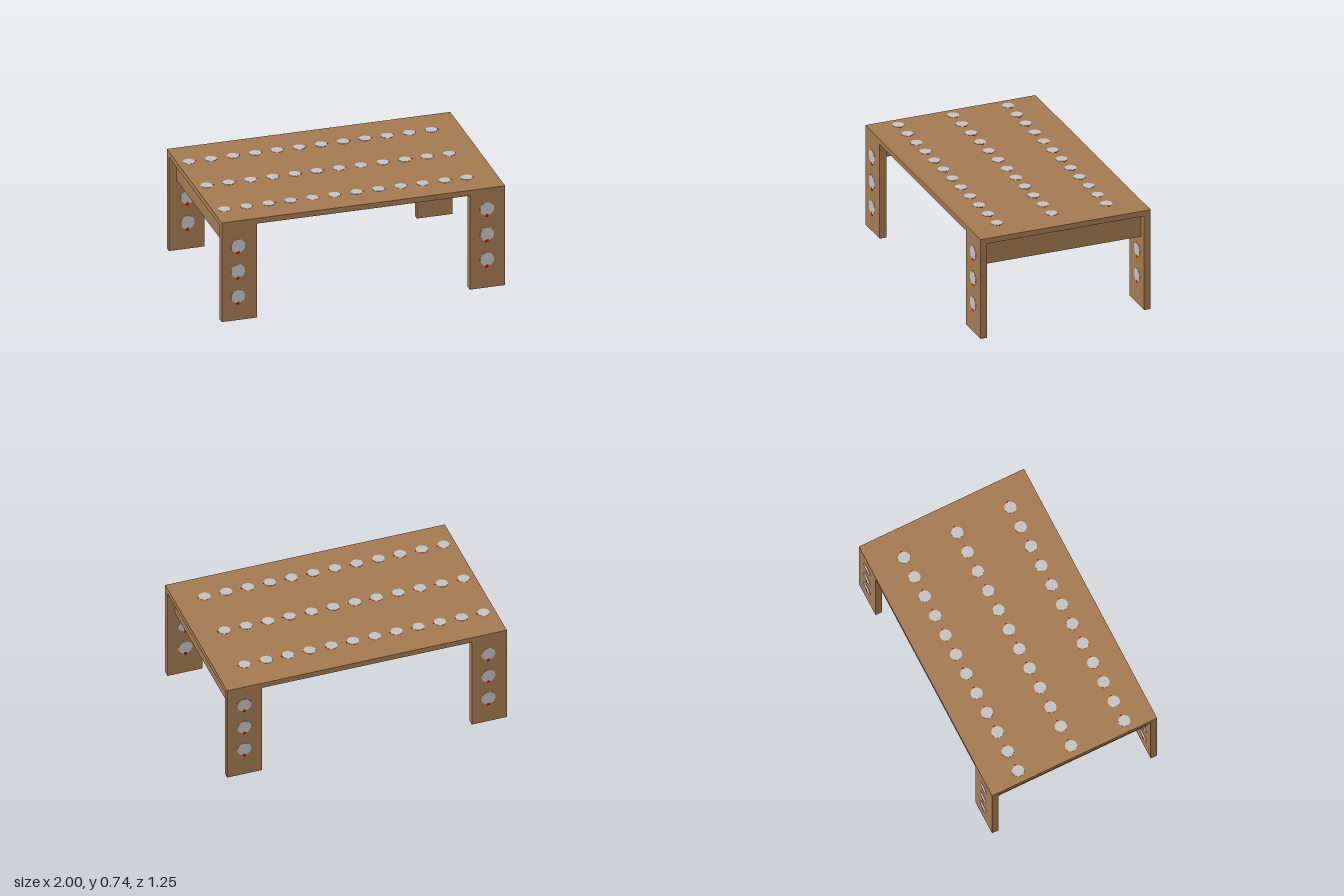
import * as THREE from 'three';

export function createModel() {
  const wood = new THREE.MeshStandardMaterial({ color: 0xa67c52 });
  wood.name = 'wood';
  const silver = new THREE.MeshStandardMaterial({ color: 0xc4c4c4 });
  silver.name = 'silver';
  const red = new THREE.MeshStandardMaterial({ color: 0xdd0000 });
  red.name = 'red';

  const W = 2, D = 1.244, H = 0.736; // overall size
  const T = 0.048;                   // board thickness of legs and aprons
  const LEG_H = 0.697, LEG_W = 0.25;
  const PROUD = 0.002;               // how far the inlays stand out

  const table = new THREE.Group();
  table.name = 'table';

  function add(parent, name, geometry, material, x, y, z) {
    const mesh = new THREE.Mesh(geometry, material);
    mesh.name = name;
    mesh.position.set(x, y, z);
    parent.add(mesh);
    return mesh;
  }

  // Tabletop
  const topH = H - LEG_H;
  add(table, 'tabletop', new THREE.BoxGeometry(W, topH, D), wood, 0, LEG_H + topH / 2, 0);

  // Rows of thin discs on the tabletop, each with a tiny red marker at its edge
  const topDisc = new THREE.CylinderGeometry(0.042, 0.042, 0.004, 12);
  const topMarker = new THREE.BoxGeometry(0.014, 0.002, 0.012);
  const topDiscs = new THREE.Group();
  topDiscs.name = 'topDiscs';
  table.add(topDiscs);
  for (const z of [-0.385, 0.015, 0.415]) {
    for (let i = 0; i < 12; i++) {
      const x = -0.918 + i * 0.1555;
      add(topDiscs, 'topDisc', topDisc, silver, x, H, z);
      add(topDiscs, 'topMarker', topMarker, red, x + 0.044, H, z);
    }
  }

  // Legs, each with three discs and red markers running through the board
  const legGeometry = new THREE.BoxGeometry(LEG_W, LEG_H, T);
  const through = T + PROUD * 2;
  const legDisc = new THREE.CylinderGeometry(0.05, 0.05, through, 14).rotateX(Math.PI / 2);
  const legMarker = new THREE.BoxGeometry(0.02, 0.02, through + 0.001);
  const legs = [
    { name: 'frontLeftLeg', sx: 1, sz: 1, discX: 0.872, discY: 0.21 },
    { name: 'frontRightLeg', sx: -1, sz: 1, discX: -0.885, discY: 0.176 },
    { name: 'backLeftLeg', sx: 1, sz: -1, discX: 0.878, discY: 0.21 },
    { name: 'backRightLeg', sx: -1, sz: -1, discX: -0.868, discY: 0.195 },
  ];
  for (const { name, sx, sz, discX, discY } of legs) {
    const leg = new THREE.Group();
    leg.name = name;
    table.add(leg);
    const z = sz * (D - T) / 2;
    add(leg, 'legBoard', legGeometry, wood, sx * (W - LEG_W) / 2, LEG_H / 2, z);
    for (let i = 0; i < 3; i++) {
      const y = discY + i * 0.187;
      add(leg, 'legDisc', legDisc, silver, discX, y, z);
      add(leg, 'legMarker', legMarker, red, discX, y - 0.05, z);
    }
  }

  // Side aprons, set in from the ends and just below the tabletop
  const apron = new THREE.BoxGeometry(T, 0.167, 1.142);
  for (const side of [-1, 1]) {
    add(table, side > 0 ? 'leftApron' : 'rightApron', apron, wood, side * 0.925, 0.6075, 0);
  }

  return table;
}
